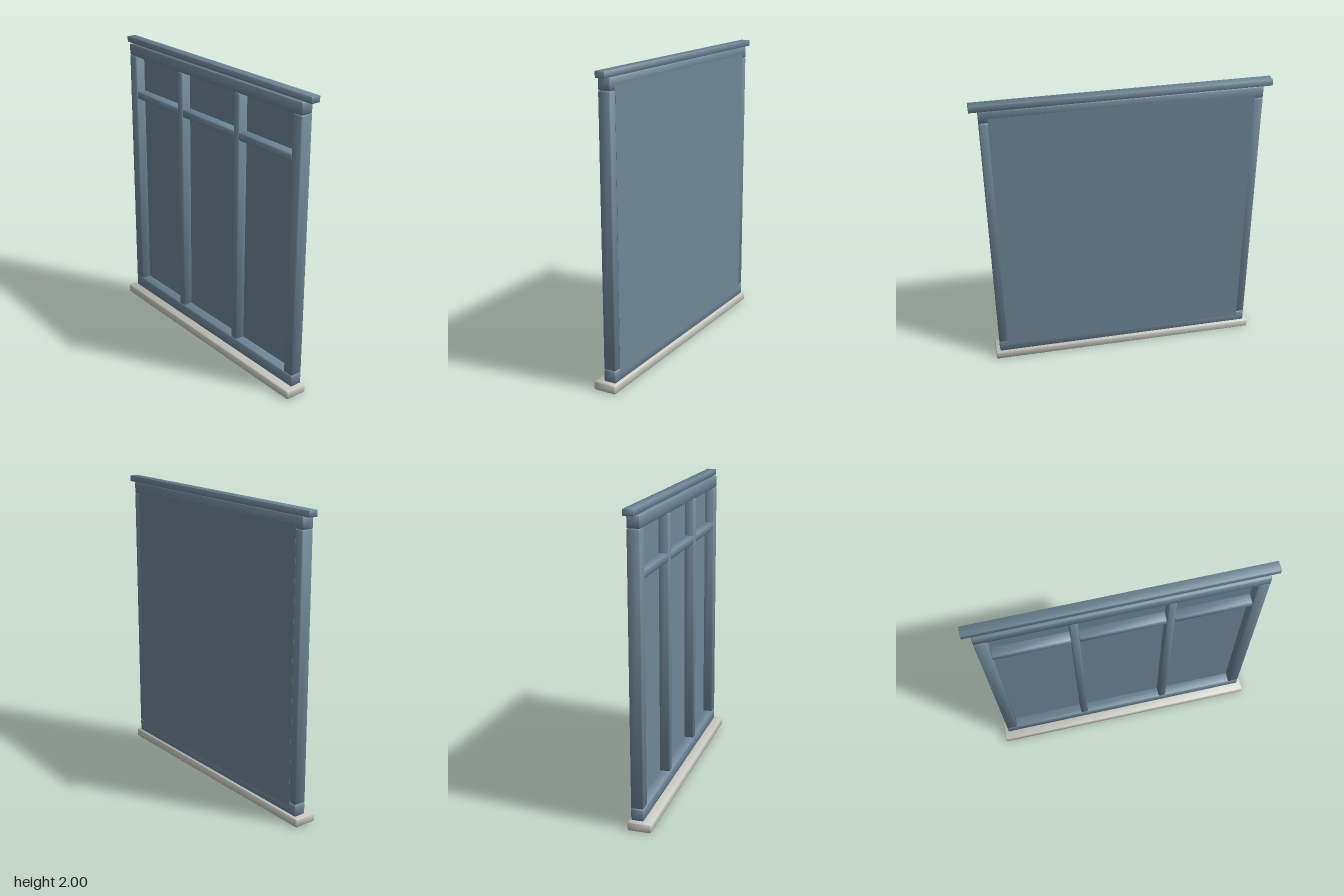
import * as THREE from 'three';
import { RoundedBoxGeometry } from 'three/addons/geometries/RoundedBoxGeometry.js';

export function createModel() {
  const model = new THREE.Group();
  model.name = 'window';
  const frameMat = new THREE.MeshStandardMaterial({ color: 0x6f8798 });
  frameMat.name = 'slateBlue';
  const sillMat = new THREE.MeshStandardMaterial({ color: 0xc8c8c2 });
  sillMat.name = 'paleStone';

  // Bevelled bar given by its extents, with normals blended softly over the edges
  function bar(name, [x0, x1], [y0, y1], [z0, z1], mat = frameMat, bevel = 0.008, softness = 0.6) {
    const geo = new RoundedBoxGeometry(x1 - x0, y1 - y0, z1 - z0, 1, bevel);
    const pos = geo.attributes.position, nor = geo.attributes.normal;
    const n = new THREE.Vector3();
    for (let i = 0; i < pos.count; i++) {
      n.fromBufferAttribute(nor, i);
      n.x += softness * Math.sign(pos.getX(i));
      n.y += softness * Math.sign(pos.getY(i));
      n.z += softness * Math.sign(pos.getZ(i));
      n.normalize();
      nor.setXYZ(i, n.x, n.y, n.z);
    }
    const mesh = new THREE.Mesh(geo, mat);
    mesh.position.set((x0 + x1) / 2, (y0 + y1) / 2, (z0 + z1) / 2);
    mesh.name = name;
    model.add(mesh);
  }

  const depth = [-0.063, 0.02];

  // Sill, rails and cornice
  bar('sill', [-0.925, 0.925], [0, 0.058], [-0.077, 0.077], sillMat);
  bar('bottomRail', [-0.895, 0.895], [0.058, 0.139], depth);
  bar('topRail', [-0.895, 0.895], [1.88, 1.96], depth);
  bar('cornice', [-0.95, 0.95], [1.96, 2], [-0.065, 0], frameMat, 0.002, 0.8);

  // Side stiles and mullions
  for (const s of [-1, 1]) {
    const side = s < 0 ? 'right' : 'left';
    bar(side + 'Stile', [s * 0.857 - 0.038, s * 0.857 + 0.038], [0.139, 1.88], depth);
    bar(side + 'Mullion', [s * 0.3 - 0.026, s * 0.3 + 0.026], [0.139, 1.88], [-0.055, 0.018]);
  }

  // Transom bars between the uprights
  for (const [x0, x1] of [[-0.82, -0.325], [-0.275, 0.275], [0.325, 0.82]])
    bar('transom', [x0, x1], [1.575, 1.627], [-0.055, 0.016]);

  // Flat pane closing the back of the frame
  const pane = new THREE.Mesh(new THREE.BoxGeometry(1.68, 1.8, 0.015), frameMat);
  pane.name = 'pane';
  pane.position.set(0, 1.01, -0.0565);
  model.add(pane);

  return model;
}
